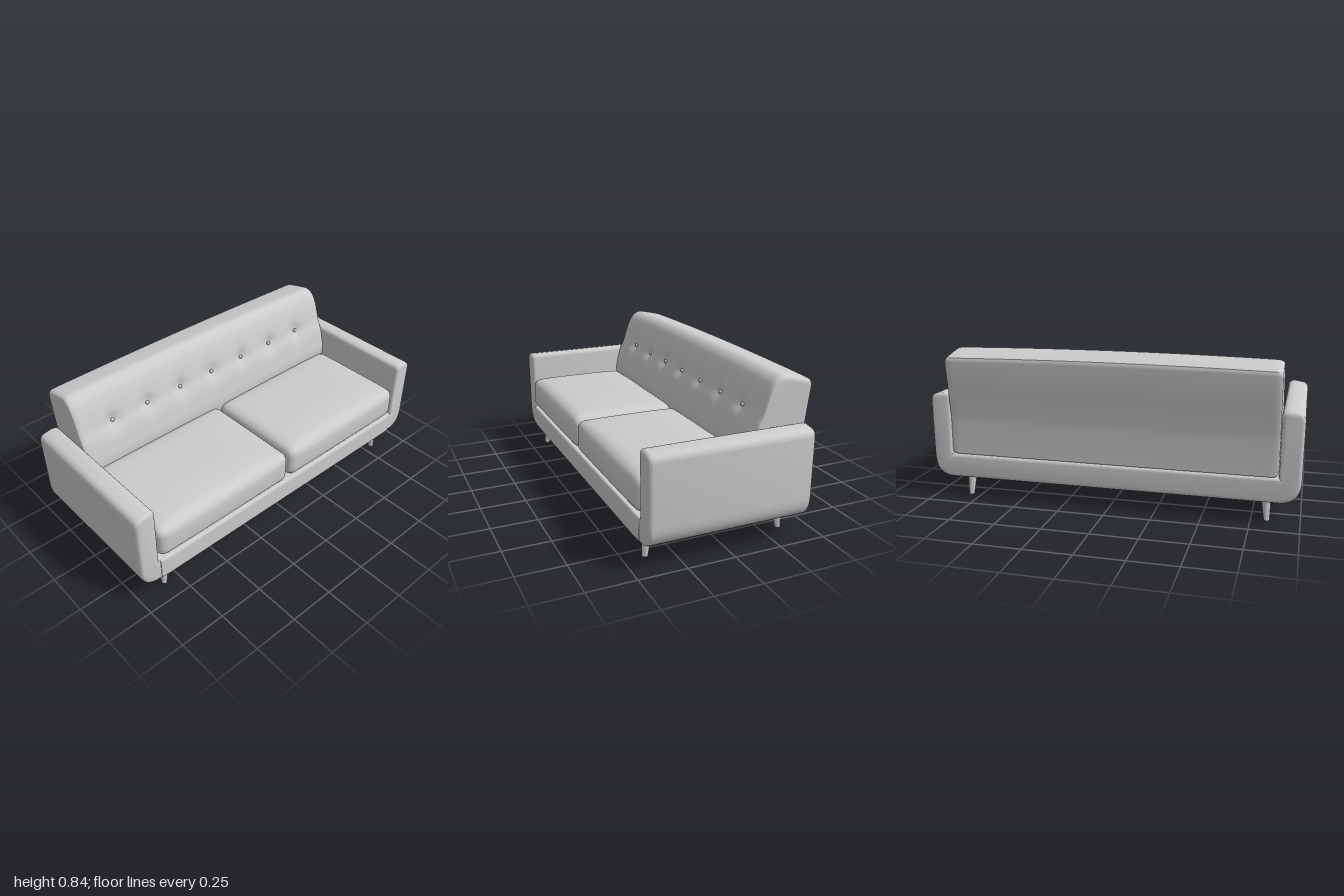
import * as THREE from 'three';
import { mergeVertices, toCreasedNormals } from 'three/addons/utils/BufferGeometryUtils.js';

const fabric = new THREE.MeshStandardMaterial({ color: 0xcccccc });
fabric.name = 'light grey';

const BUTTON_X = [-0.675, -0.45, -0.225, 0, 0.225, 0.45, 0.675];
const BUTTON_Y = 0.637;

function add(parent, name, geometry, x = 0, y = 0, z = 0) {
  const mesh = new THREE.Mesh(geometry, fabric);
  mesh.name = name;
  mesh.position.set(x, y, z);
  parent.add(mesh);
  return mesh;
}

// Rounded, optionally puffed box: pull each vertex onto a rounded shell, then swell the faces
function softBox(w, h, d, r, puffY = 0, puffZ = 0) {
  let g = new THREE.BoxGeometry(w, h, d, 40, 14, 30);
  g.deleteAttribute('uv');
  g.deleteAttribute('normal');
  g = mergeVertices(g);
  const p = g.attributes.position;
  const half = new THREE.Vector3(w / 2, h / 2, d / 2);
  const inner = half.clone().subScalar(r);
  const v = new THREE.Vector3(), c = new THREE.Vector3();
  for (let i = 0; i < p.count; i++) {
    v.fromBufferAttribute(p, i);
    c.copy(v).clamp(inner.clone().negate(), inner);
    v.sub(c).normalize().multiplyScalar(r).add(c);
    const a = 1 - (v.x / half.x) ** 4, b = 1 - (v.y / half.y) ** 2, e = 1 - (v.z / half.z) ** 4;
    const top = Math.max(0, v.y / half.y);
    v.y += puffY * top * a * e;
    v.z += puffZ * Math.max(0, v.z / half.z) * a * b;
    p.setXYZ(i, v.x, v.y, v.z);
  }
  g.computeVertexNormals();
  return g;
}

// U-shaped body: both arms and the base in one bevelled extrusion
function frameGeometry() {
  const s = new THREE.Shape();
  const bottom = 0.113, top = 0.588, seat = 0.245, inX = 0.885;
  s.moveTo(-0.89, bottom);
  s.lineTo(0.89, bottom);
  s.bezierCurveTo(0.955, bottom, 0.995, 0.15, 0.997, 0.23);
  s.lineTo(1, 0.54);
  s.quadraticCurveTo(1, 0.575, 0.965, 0.582);
  s.lineTo(0.925, top);
  s.quadraticCurveTo(inX, top, inX, 0.56);
  s.lineTo(inX, seat);
  s.lineTo(-inX, seat);
  s.lineTo(-inX, 0.56);
  s.quadraticCurveTo(-inX, top, -0.925, top);
  s.lineTo(-0.965, 0.582);
  s.quadraticCurveTo(-1, 0.575, -1, 0.54);
  s.lineTo(-0.997, 0.23);
  s.bezierCurveTo(-0.995, 0.15, -0.955, bottom, -0.89, bottom);
  const g = new THREE.ExtrudeGeometry(s, {
    depth: 0.82, curveSegments: 10, bevelEnabled: true,
    bevelThickness: 0.02, bevelSize: 0.02, bevelOffset: -0.02, bevelSegments: 4,
  });
  g.translate(0, 0, -0.395);
  return toCreasedNormals(g, 0.7);
}

// Tufted backrest: a side profile lofted along x, with dimples around the buttons
function backGeometry() {
  const front = new THREE.SplineCurve([
    [-0.15, 0.25], [-0.13, 0.43], [-0.143, 0.52], [-0.162, 0.59], [-0.185, 0.64], [-0.203, 0.7],
    [-0.224, 0.76], [-0.252, 0.81], [-0.29, 0.834], [-0.34, 0.829], [-0.43, 0.807], [-0.453, 0.795],
    [-0.456, 0.775],
  ].map(([z, y]) => new THREE.Vector2(z, y))).getSpacedPoints(70);
  const loop = [...front, ...[[-0.435, 0.61], [-0.416, 0.46], [-0.414, 0.43], [-0.414, 0.25]]
    .map(([z, y]) => new THREE.Vector2(z, y))];

  // Stations along x: [x, scale about the profile centre]
  const W = 0.884, R = 0.035, stations = [];
  for (let i = 0; i <= 5; i++) {
    const t = (i / 5) * Math.PI / 2;
    stations.push([-W + R * (1 - Math.sin(t)), 0.93 + 0.07 * Math.cos(t - Math.PI / 2)]);
  }
  stations[0][0] = -W + 0.0001;
  const cap = [[-W, 0], [-W, 0.88], [-W, 0.93]];
  const side = [...cap];
  for (let i = 1; i <= 5; i++) {
    const t = (i / 5) * Math.PI / 2;
    side.push([-W + R * (1 - Math.cos(t)), 0.93 + 0.07 * Math.sin(t)]);
  }
  const middle = [];
  const N = 110, span = W - R;
  for (let i = 1; i < N; i++) middle.push([-span + (2 * span * i) / N, 1]);
  const rows = [...side, ...middle, ...side.map(([x, k]) => [-x, k]).reverse()];

  const cz = -0.3, cy = 0.55, pos = [], idx = [], n = loop.length;
  for (const [x, k] of rows) {
    for (const q of loop) {
      let z = q.x, y = q.y;
      if (z > -0.27) {
        const dy = (y - BUTTON_Y) / 0.045;
        for (const bx of BUTTON_X) {
          const dx = x - bx;
          z -= 0.016 * Math.exp(-((dx / 0.045) ** 2) - dy * dy);
          z -= 0.004 * Math.exp(-((dx / 0.02) ** 2) - (dy / 2.2) ** 2);
        }
      }
      y -= 0.012 * (x / W) ** 2 * Math.max(0, (y - 0.5) / 0.33);
      pos.push(x, cy + (y - cy) * k, cz + (z - cz) * k);
    }
  }
  for (let i = 0; i < rows.length - 1; i++) {
    for (let j = 0; j < n; j++) {
      const a = i * n + j, b = i * n + (j + 1) % n, c = a + n, d = b + n;
      idx.push(a, c, b, c, d, b);
    }
  }
  const g = new THREE.BufferGeometry();
  g.setAttribute('position', new THREE.Float32BufferAttribute(pos, 3));
  g.setIndex(idx);
  return toCreasedNormals(g, 0.6);
}

// Tapered leg leaning from its top centre to its foot centre
function legGeometry(top, foot, rTop, rFoot, y0) {
  const h = 0.125 - y0;
  const g = new THREE.CylinderGeometry(rTop, rFoot, h, 20);
  const p = g.attributes.position;
  for (let i = 0; i < p.count; i++) {
    const t = p.getY(i) / h + 0.5;
    p.setXYZ(i,
      p.getX(i) + THREE.MathUtils.lerp(foot[0], top[0], t),
      p.getY(i) + y0 + h / 2,
      p.getZ(i) + THREE.MathUtils.lerp(foot[1], top[1], t));
  }
  g.computeVertexNormals();
  return toCreasedNormals(g, 0.7);
}

export function createModel() {
  const sofa = new THREE.Group();
  sofa.name = 'sofa';

  add(sofa, 'frame', frameGeometry());
  add(sofa, 'frontRail', softBox(1.765, 0.127, 0.08, 0.012), 0, 0.182, 0.411);
  add(sofa, 'backrest', backGeometry());

  // Two crowned seat cushions
  for (const s of [-1, 1]) {
    add(sofa, s < 0 ? 'rightSeatCushion' : 'leftSeatCushion',
      softBox(0.873, 0.183, 0.6, 0.045, 0.022, 0.008), s * 0.442, 0.34, 0.15);
  }

  // Tufting buttons
  for (const x of BUTTON_X) {
    const button = add(sofa, 'button', new THREE.SphereGeometry(0.012, 14, 10), x, BUTTON_Y, -0.199);
    button.scale.z = 0.7;
  }

  // Four splayed corner legs and a straight middle leg
  for (const [topX, footX] of [[0.806, 0.812], [-0.823, -0.831]]) {
    add(sofa, 'frontLeg', legGeometry([topX, 0.374], [footX, 0.386], 0.026, 0.015, 0));
    add(sofa, 'rearLeg', legGeometry([topX, -0.339], [footX, -0.352], 0.026, 0.015, 0));
  }
  add(sofa, 'middleLeg', legGeometry([-0.003, 0.014], [-0.003, 0.014], 0.023, 0.023, 0.005));

  return sofa;
}
